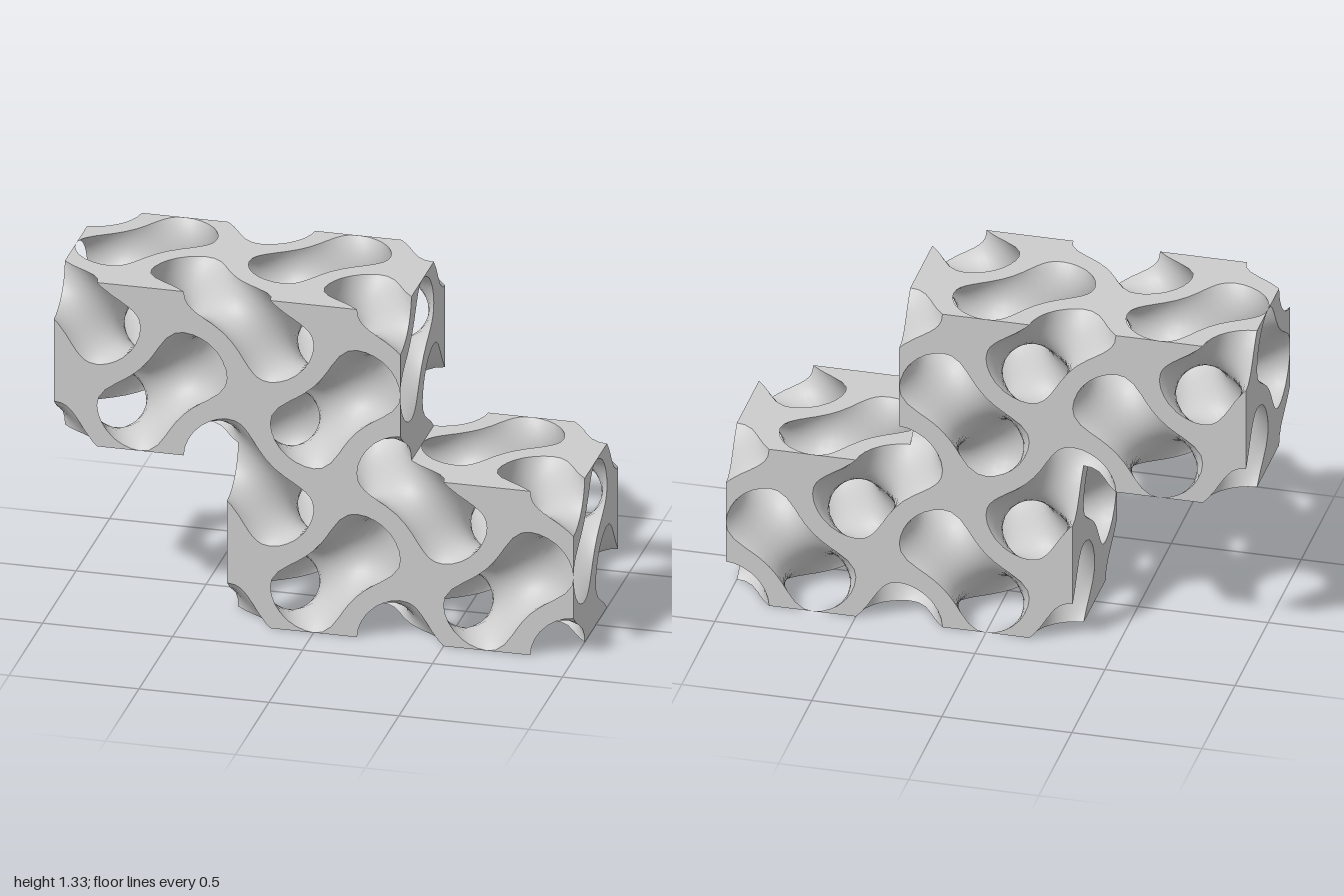
import * as THREE from 'three';

const SIZE = 2 / 3;          // edge of one cubic cell (one wave period)
const HALF = SIZE / 2;
const N = 20;                // grid steps per cell
const LEVEL = 0.5;           // the solid is where |wave| < LEVEL
const K = (2 * Math.PI) / SIZE;
const { sin, cos, PI } = Math;

// Periodic gyroid field, in coordinates centred on a cell
const phase = (p) => [K * p.x + 0.75 * PI, K * p.y + 0.75 * PI, K * p.z + 0.25 * PI];

function wave(p) {
  const [x, y, z] = phase(p);
  return sin(x) * cos(y) - sin(y) * cos(z) + sin(z) * cos(x);
}

function gradient(p) {
  const [x, y, z] = phase(p);
  return new THREE.Vector3(
    cos(x) * cos(y) - sin(z) * sin(x),
    -sin(x) * sin(y) - cos(y) * cos(z),
    sin(y) * sin(z) + cos(z) * cos(x)
  ).normalize();
}

const gridPos = (i) => -HALF + (i * SIZE) / N;

// Point where a value changes sign between two corners
const crossing = (a, b) => a.p.clone().lerp(b.p, a.v / (a.v - b.v));

function makeGeometry(positions, normals) {
  const geometry = new THREE.BufferGeometry();
  geometry.setAttribute('position', new THREE.Float32BufferAttribute(positions, 3));
  geometry.setAttribute('normal', new THREE.Float32BufferAttribute(normals, 3));
  return geometry;
}

// Curved walls of one cell: each grid cube is split into six tetrahedra
// and the two level surfaces are cut through them
function wallGeometry() {
  const positions = [], normals = [];
  const orders = [[0, 1, 2], [0, 2, 1], [1, 0, 2], [1, 2, 0], [2, 0, 1], [2, 1, 0]];
  const ab = new THREE.Vector3(), ac = new THREE.Vector3();

  function addTriangle(a, b, c, side) {
    const n = ab.subVectors(b, a).cross(ac.subVectors(c, a));
    if (n.lengthSq() < 1e-18) return;
    const flip = n.dot(gradient(a).add(gradient(b)).add(gradient(c))) * side < 0;
    for (const p of flip ? [a, c, b] : [a, b, c]) {
      positions.push(p.x, p.y, p.z);
      normals.push(...gradient(p).multiplyScalar(side).toArray());
    }
  }

  function cutTetra(corners, side) {
    const pts = corners.map((c) => ({ p: c.p, v: side * c.f - LEVEL }));
    const inner = pts.filter((c) => c.v < 0);
    const outer = pts.filter((c) => c.v >= 0);
    if (!inner.length || !outer.length) return;
    if (inner.length === 2) {
      const q = [[0, 0], [0, 1], [1, 1], [1, 0]].map(([i, o]) => crossing(inner[i], outer[o]));
      addTriangle(q[0], q[1], q[2], side);
      addTriangle(q[0], q[2], q[3], side);
    } else {
      const [lone, rest] = inner.length === 1 ? [inner[0], outer] : [outer[0], inner];
      addTriangle(...rest.map((c) => crossing(lone, c)), side);
    }
  }

  const corner = (index) => {
    const p = new THREE.Vector3(...index.map(gridPos));
    return { p, f: wave(p) };
  };
  for (let i = 0; i < N; i++) for (let j = 0; j < N; j++) for (let k = 0; k < N; k++) {
    for (const order of orders) {
      const index = [i, j, k];
      const tetra = [corner(index)];
      for (const axis of order) {
        index[axis]++;
        tetra.push(corner(index));
      }
      cutTetra(tetra, 1);
      cutTetra(tetra, -1);
    }
  }
  return makeGeometry(positions, normals);
}

// Keep the part of a polygon where side * wave < LEVEL
function clip(polygon, side) {
  const result = [];
  polygon.forEach((a, i) => {
    const b = polygon[(i + 1) % polygon.length];
    const va = side * a.f - LEVEL, vb = side * b.f - LEVEL;
    if (va <= 0) result.push(a);
    if ((va < 0 && vb > 0) || (va > 0 && vb < 0)) {
      const t = va / (va - vb);
      result.push({ p: a.p.clone().lerp(b.p, t), f: a.f + (b.f - a.f) * t });
    }
  });
  return result;
}

// Flat cut face of one cell, on the plus or minus side of an axis
function capGeometry(axis, sign) {
  const positions = [], normals = [];
  const normal = [0, 0, 0];
  normal[axis] = sign;
  const corner = (i, j) => {
    const p = new THREE.Vector3();
    p.setComponent(axis, sign * HALF);
    p.setComponent((axis + 1) % 3, gridPos(i));
    p.setComponent((axis + 2) % 3, gridPos(j));
    return { p, f: wave(p) };
  };
  for (let i = 0; i < N; i++) for (let j = 0; j < N; j++) {
    const a = corner(i, j), b = corner(i + 1, j), c = corner(i + 1, j + 1), d = corner(i, j + 1);
    for (const triangle of [[a, b, c], [a, c, d]]) {
      const poly = clip(clip(triangle, 1), -1);
      if (sign < 0) poly.reverse();
      for (let m = 1; m < poly.length - 1; m++) {
        for (const { p } of [poly[0], poly[m], poly[m + 1]]) {
          positions.push(p.x, p.y, p.z);
          normals.push(...normal);
        }
      }
    }
  }
  return makeGeometry(positions, normals);
}

export function createModel() {
  const model = new THREE.Group();
  model.name = 'steppedLattice';
  const material = new THREE.MeshStandardMaterial({ color: 0xcccccc, side: THREE.DoubleSide });
  const walls = wallGeometry();
  const faces = [
    ['leftCap', 0, 1], ['rightCap', 0, -1],
    ['topCap', 1, 1], ['bottomCap', 1, -1],
    ['frontCap', 2, 1], ['backCap', 2, -1],
  ].map(([name, axis, sign]) => ({ name, axis, sign, geometry: capGeometry(axis, sign) }));

  // Two rows of two cells, the upper row shifted one cell to the right
  const cells = [[-1, 1], [0, 1], [0, 0], [1, 0]];
  const filled = (x, y) => cells.some(([cx, cy]) => cx === x && cy === y);

  for (const [cx, cy] of cells) {
    const cell = new THREE.Group();
    cell.name = cy ? 'upperCell' : 'lowerCell';
    cell.position.set(cx * SIZE, cy * SIZE + HALF, 0);
    const add = (geometry, name) => {
      const mesh = new THREE.Mesh(geometry, material);
      mesh.name = name;
      cell.add(mesh);
    };
    add(walls, 'curvedWalls');
    // Cap only the sides without a neighbouring cell
    for (const { name, axis, sign, geometry } of faces) {
      const covered = axis === 0 ? filled(cx + sign, cy) : axis === 1 && filled(cx, cy + sign);
      if (!covered) add(geometry, name);
    }
    model.add(cell);
  }
  return model;
}
